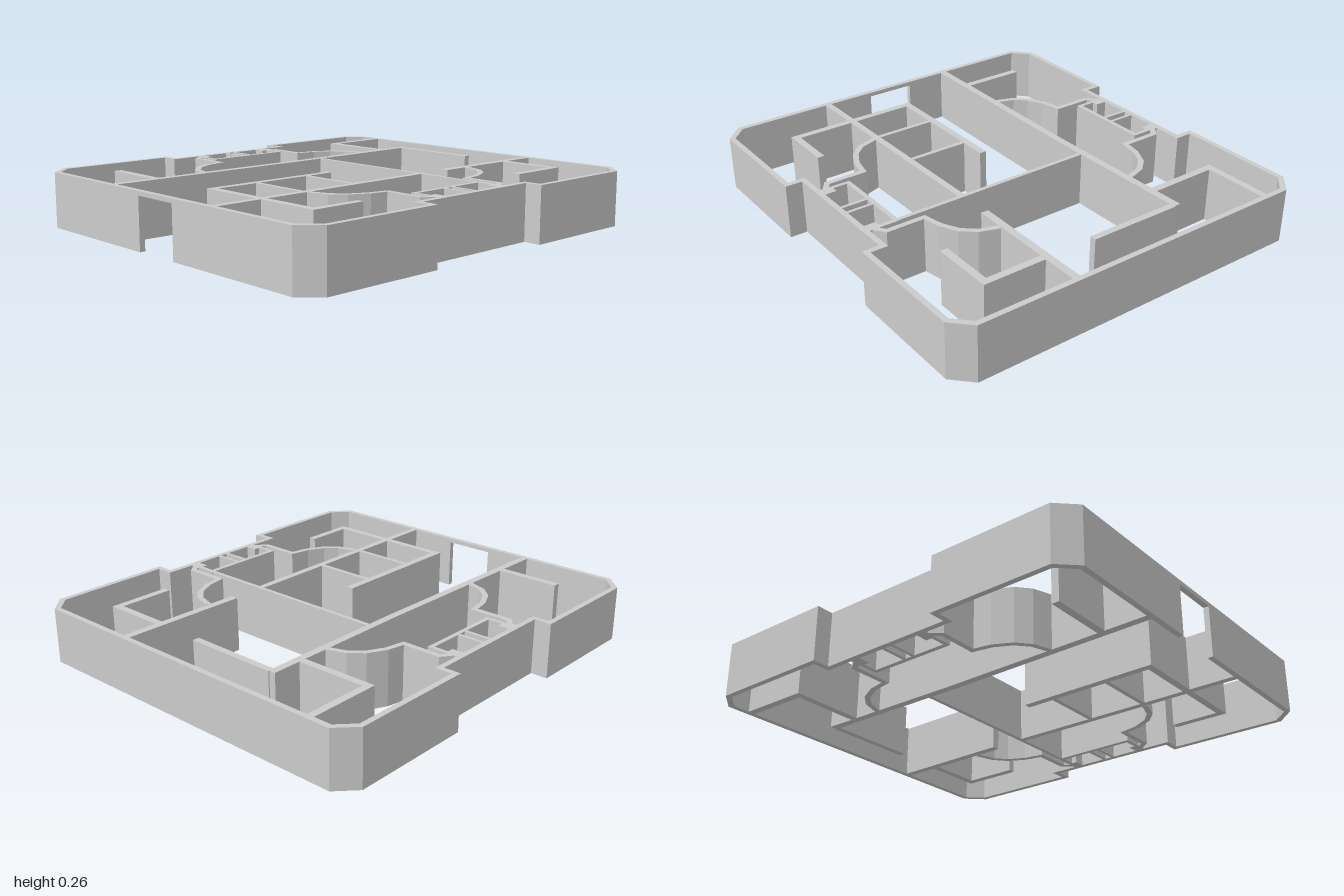
import * as THREE from 'three';

const H = 0.26;
const material = new THREE.MeshStandardMaterial({ color: 0xcccccc, flatShading: true });

// Mitred wall of thickness t following a plan path of [x, z] points
function wall(name, path, t = 0.026, bottom = 0, top = H) {
  const pts = path.map(([x, z]) => new THREE.Vector2(x, z));
  const normal = (a, b) => {
    const d = b.clone().sub(a).normalize();
    return new THREE.Vector2(-d.y, d.x);
  };
  const left = [], right = [];
  pts.forEach((p, i) => {
    const n0 = normal(pts[Math.max(i - 1, 0)], pts[Math.max(i, 1)]);
    const last = pts.length - 1;
    const n1 = i < last ? normal(p, pts[i + 1]) : n0;
    const m = n0.clone().add(n1).normalize();
    m.multiplyScalar(t / 2 / m.dot(n1));
    left.push(p.clone().add(m));
    right.unshift(p.clone().sub(m));
  });
  const geo = new THREE.ExtrudeGeometry(new THREE.Shape([...left, ...right]), {
    depth: top - bottom, bevelEnabled: false,
  });
  geo.rotateX(Math.PI / 2).translate(0, top, 0);
  const mesh = new THREE.Mesh(geo, material);
  mesh.name = name;
  return mesh;
}

export function createModel() {
  const model = new THREE.Group();
  model.name = 'floorPlan';
  const add = (...args) => model.add(wall(...args));

  // Outer shell: chamfered corners, recessed front and back, doorway in the -x side
  const corner = [[0.987, 0.825], [0.907, 0.902], [0.342, 0.902], [0.342, 0.821]];
  const flip = (path, sx, sz) => path.map(([x, z]) => [x * sx, z * sz]);
  add('outerWall', [
    [-0.987, 0.1],
    ...flip(corner, -1, 1), ...flip(corner, 1, 1).reverse(),
    ...flip(corner, 1, -1), ...flip(corner, -1, -1).reverse(),
    [-0.987, -0.14],
  ]);
  add('doorLintel', [[-0.987, -0.14], [-0.987, 0.1]], 0.026, H - 0.02);

  // Main cross walls
  add('backCrossWall', [[-0.99, -0.358], [0.05, -0.345], [0.81, -0.353]], 0.036);
  add('frontCrossWallRight', [[-0.99, 0.346], [0.2, 0.338]], 0.032);
  add('frontCrossWallLeft', [[0.365, 0.338], [0.99, 0.347]], 0.036);
  add('spineWall', [[0.2, -0.335], [0.2, 0.81]], 0.02);
  add('sideHallWall', [[0.8, -0.34], [0.797, 0.11]], 0.031);

  // Corner room partitions
  add('backLeftCloset', [[0.653, -0.35], [0.65, -0.715], [0.99, -0.717]], 0.035);
  add('backRightPartition', [[-0.759, -0.68], [-0.759, -0.36]], 0.035);
  add('frontLeftCloset', [[0.79, 0.345], [0.79, 0.645], [0.51, 0.645]], 0.035);
  add('frontRightCloset', [[-0.08, 0.024], [-0.74, 0.022], [-0.737, 0.652], [-0.49, 0.652]], 0.034);
  add('smallRoomPartition', [[-0.51, 0.03], [-0.51, 0.34]], 0.022);
  add('smallRoomPartition', [[-0.222, 0.03], [-0.222, 0.34]], 0.022);

  // Entrance halls at the back and front: curved walls and a service core
  const curve = [[0.503, -0.36], [0.473, -0.45], [0.422, -0.508], [0.34, -0.55],
    [0.251, -0.567], [0.251, -0.752], [0.205, -0.785]];
  for (const sz of [1, -1]) {
    const put = (name, path, t) => add(name, flip(path, 1, sz), t);
    for (const sx of [1, -1]) {
      add('curvedHallWall', flip(curve, sx, sz), 0.026);
      put('coreSideWall', [[sx * 0.203, -0.815], [sx * 0.203, -0.662]], 0.018);
      put('corePillar', [[sx * 0.18, -0.815], [sx * 0.18, -0.753]], 0.032);
      put('coreDivider', [[sx * 0.025, -0.815], [sx * 0.025, -0.672]], 0.016);
    }
    put('coreInnerWall', [[-0.212, -0.673], [0.212, -0.673]], 0.022);
  }
  return model;
}
